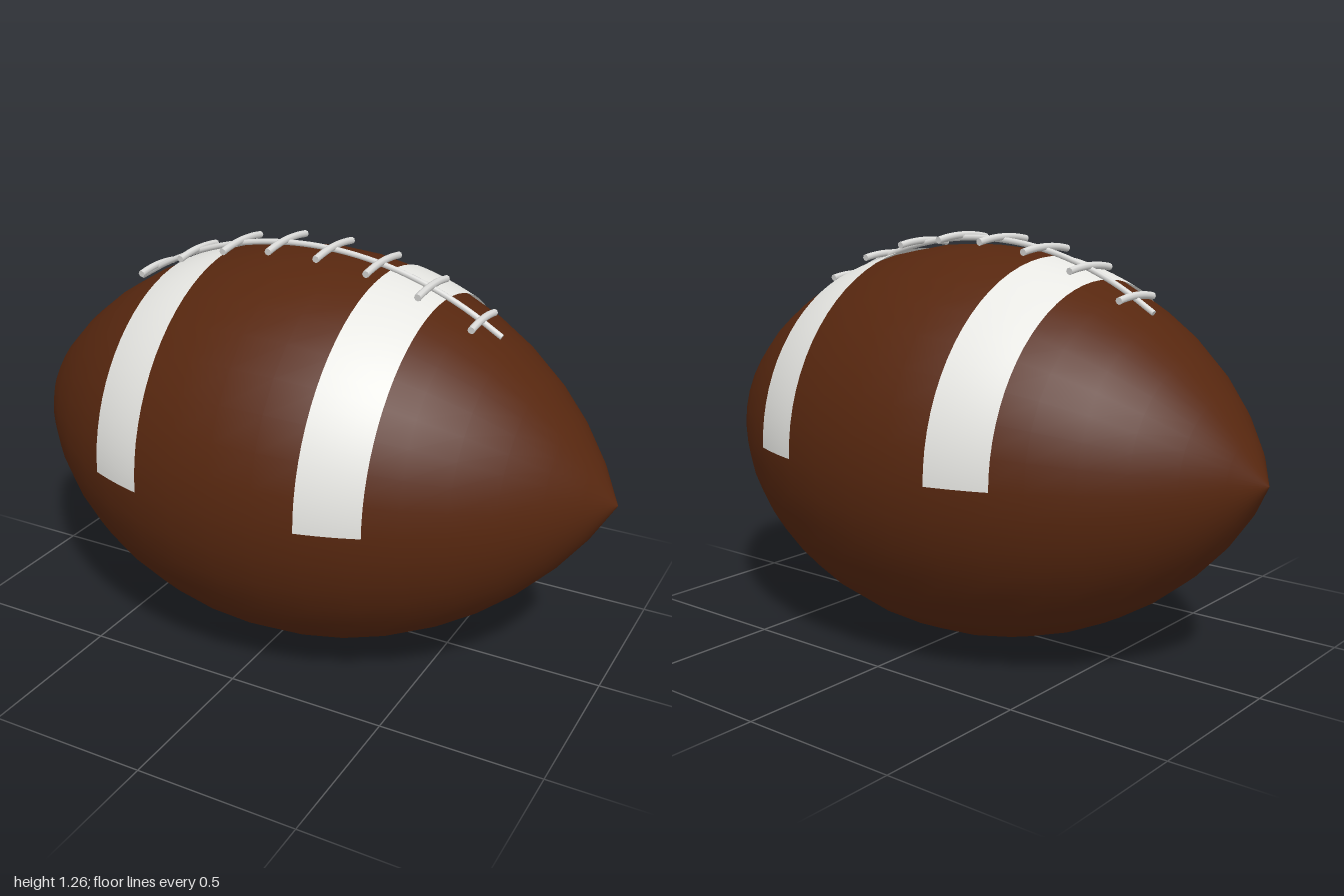
import * as THREE from 'three';
import { mergeGeometries } from 'three/addons/utils/BufferGeometryUtils.js';

const CENTER_Y = 0.617;
const MAX_R = 0.614;
// The outline is a circular arc through both tips
const ARC_R = (1 + MAX_R * MAX_R) / (2 * MAX_R);
const ARC_OFFSET = ARC_R - MAX_R;
const HALF_ANGLE = Math.atan2(1, ARC_OFFSET);
const radiusAt = (x) => Math.max(0, Math.sqrt(ARC_R * ARC_R - x * x) - ARC_OFFSET);

// Lathe turned so its axis runs along x
function latheX(points, segments, start, length) {
  const g = new THREE.LatheGeometry(points, segments, start, length);
  g.rotateZ(-Math.PI / 2);
  return g;
}

// Round cord along a curve, closed at both ends
function cord(points, radius, segments) {
  const curve = new THREE.CatmullRomCurve3(points);
  const parts = [new THREE.TubeGeometry(curve, segments, radius, 8, false)];
  for (const [t, dir] of [[0, -1], [1, 1]]) {
    const cap = new THREE.CircleGeometry(radius, 8);
    const out = curve.getTangentAt(t).multiplyScalar(dir);
    cap.applyQuaternion(new THREE.Quaternion().setFromUnitVectors(new THREE.Vector3(0, 0, 1), out));
    const p = curve.getPointAt(t);
    cap.translate(p.x, p.y, p.z);
    parts.push(cap);
  }
  return mergeGeometries(parts);
}

export function createModel() {
  const leather = new THREE.MeshStandardMaterial({ name: 'brownLeather', color: 0x57270f });
  const paint = new THREE.MeshStandardMaterial({ name: 'whitePaint', color: 0xf0f0ec, side: THREE.DoubleSide });
  const lacing = new THREE.MeshStandardMaterial({ name: 'laceGrey', color: 0xdcdcda });

  const ball = new THREE.Group();
  ball.name = 'football';
  ball.position.y = CENTER_Y;
  const add = (name, geometry, material) => {
    const mesh = new THREE.Mesh(geometry, material);
    mesh.name = name;
    ball.add(mesh);
  };

  // Leather body
  const profile = [];
  for (let i = 0; i <= 18; i++) {
    const x = i === 0 ? -1 : i === 18 ? 1 : ARC_R * Math.sin(HALF_ANGLE * (i / 9 - 1));
    profile.push(new THREE.Vector2(i % 18 ? radiusAt(x) : 0, x));
  }
  add('body', latheX(profile, 36, 0, Math.PI * 2), leather);

  // Painted half-ring stripes over the upper side
  for (const [name, x0] of [['leftStripe', 0.263], ['rightStripe', -0.443]]) {
    const band = [];
    for (let i = 0; i <= 6; i++) {
      const x = x0 + 0.18 * i / 6;
      band.push(new THREE.Vector2(radiusAt(x) + 0.006, x));
    }
    add(name, latheX(band, 36, Math.PI, Math.PI), paint);
  }

  // Long lace following the top seam
  const seam = [];
  for (let i = 0; i <= 12; i++) {
    const x = -0.62 + 1.24 * i / 12;
    seam.push(new THREE.Vector3(x, radiusAt(x) + 0.018, 0));
  }
  add('seamLace', cord(seam, 0.009, 40), lacing);

  // Cross laces bent around the body
  for (let i = 0; i < 8; i++) {
    const x = -0.56 + 0.16 * i;
    const r = radiusAt(x) + 0.027;
    const points = [];
    for (let j = -3; j <= 3; j++) {
      const a = 0.183 * j / 3;
      points.push(new THREE.Vector3(x, r * Math.cos(a), r * Math.sin(a)));
    }
    add('crossLace' + (i + 1), cord(points, 0.011, 12), lacing);
  }

  const model = new THREE.Group();
  model.name = 'model';
  model.add(ball);
  return model;
}
